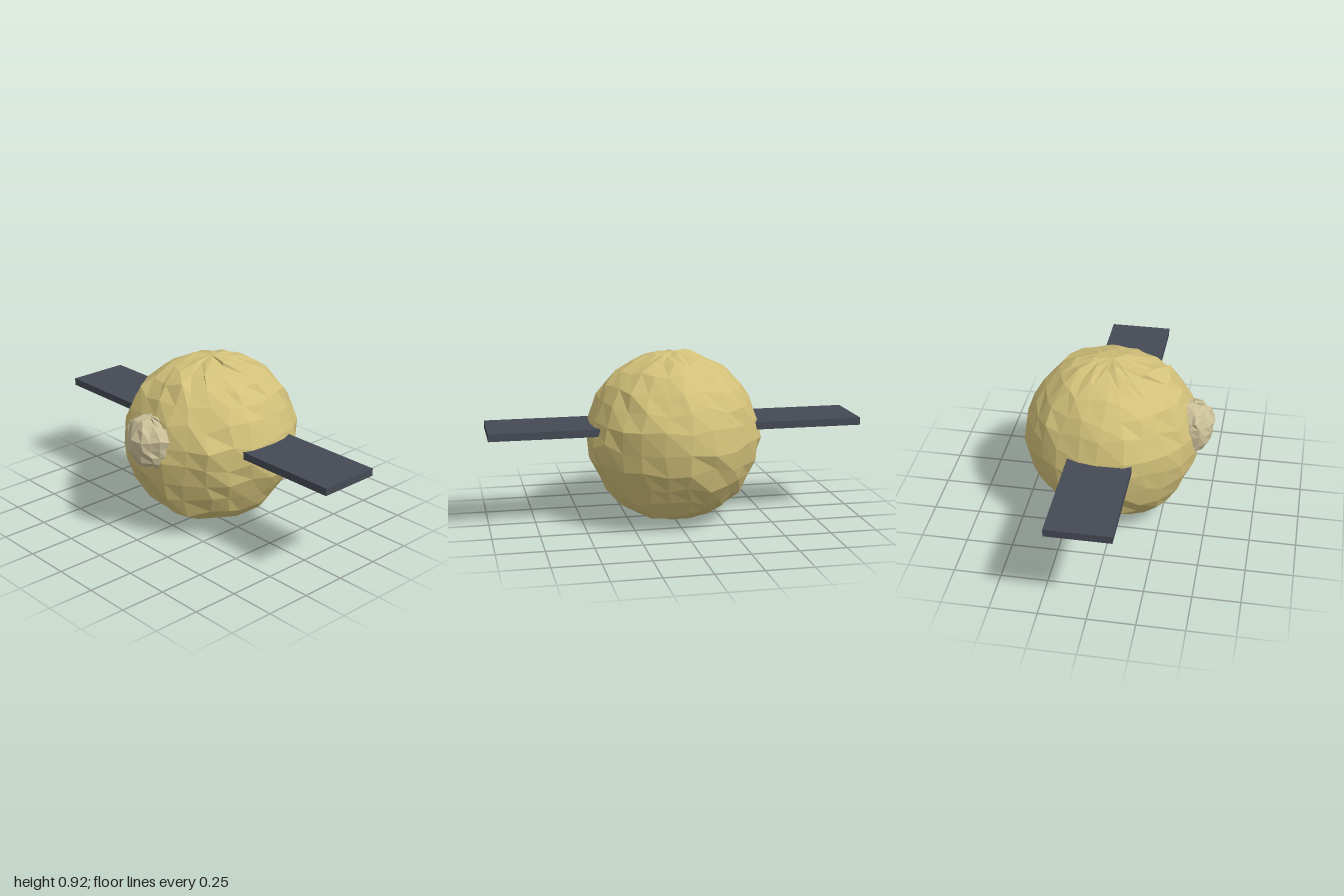
import * as THREE from 'three';

const mat = (name, color) => {
  const m = new THREE.MeshStandardMaterial({ color, flatShading: true });
  m.name = name;
  return m;
};

// Repeatable value in 0..1 from a position, so seam vertices stay joined
const hash = (v, k) => {
  const q = (n) => Math.round(n * 1000);
  const s = Math.sin(q(v.x) * 12.9898 + q(v.y) * 78.233 + q(v.z) * 37.719 + k * 4.1) * 43758.5453;
  return s - Math.floor(s);
};

// Faceted rock: jittered unit sphere with chips pulled outwards
function rock(cols, rows, size, rough, slide, chips) {
  const geo = new THREE.SphereGeometry(1, cols, rows);
  const pos = geo.attributes.position;
  const v = new THREE.Vector3();
  for (let i = 0; i < pos.count; i++) {
    v.fromBufferAttribute(pos, i);
    let r = 1 + (hash(v, 1) - 0.5) * rough;
    for (const [x, y, z, height, reach] of chips) {
      const angle = v.angleTo(new THREE.Vector3(x, y, z));
      r += height * Math.max(0, 1 - angle / reach);
    }
    const shift = new THREE.Vector3(hash(v, 2), hash(v, 3), hash(v, 4)).subScalar(0.5).multiplyScalar(slide);
    const pole = Math.abs(v.y) > 0.999;
    if (!pole) v.add(shift).normalize();
    v.multiplyScalar(pole ? 1 : r).multiply(size);
    v.y = THREE.MathUtils.clamp(v.y, -size.y, size.y);
    pos.setXYZ(i, v.x, v.y, v.z);
  }
  geo.computeVertexNormals();
  return geo;
}

export function createModel() {
  const group = new THREE.Group();
  const add = (name, geo, material, x, y, z) => {
    const mesh = new THREE.Mesh(geo, material);
    mesh.name = name;
    mesh.position.set(x, y, z);
    group.add(mesh);
  };
  const sand = mat('sandyRock', 0xd2c079);
  const pale = mat('paleRock', 0xcabf98);
  const slate = mat('slate', 0x454a55);

  // Large boulder body; chips are direction, height, angular reach
  const chips = [
    [0.1, 0.78, 0.68, 0.08, 0.3], [-0.35, 0.6, 0.72, 0.05, 0.3],
    [0.7, 0.2, 0.68, 0.07, 0.25], [0.2, -0.58, 0.79, 0.08, 0.25],
    [-0.5, -0.75, 0.6, 0.1, 0.25], [0.35, -0.75, 0.75, 0.08, 0.25],
    [0.5, 0.78, -0.55, 0.08, 0.25], [0.3, -0.82, -0.65, 0.08, 0.25],
    [-0.95, 0.1, 0.1, 0.04, 0.3], [0.96, 0.1, -0.2, 0.04, 0.3],
    [-0.1, 0.1, -1, 0.04, 0.4],
  ];
  add('boulderBody', rock(24, 14, new THREE.Vector3(0.465, 0.459, 0.467), 0.045, 0.09, chips),
    sand, 0, 0.459, -0.035);

  // Small pale rock on the front
  add('paleNose', rock(16, 10, new THREE.Vector3(0.142, 0.142, 0.118), 0.16, 0.2,
    [[0.9, 0.5, 0.3, 0.15, 0.35], [-0.8, 0.5, 0.3, 0.12, 0.35]]), pale, 0, 0.545, 0.395);

  // Flat side panels, embedded in the body
  for (const [name, side] of [['leftPanel', 1], ['rightPanel', -1]]) {
    add(name, new THREE.BoxGeometry(0.6, 0.04, 0.34), slate, side * 0.7, 0.525, -0.035);
  }
  return group;
}
